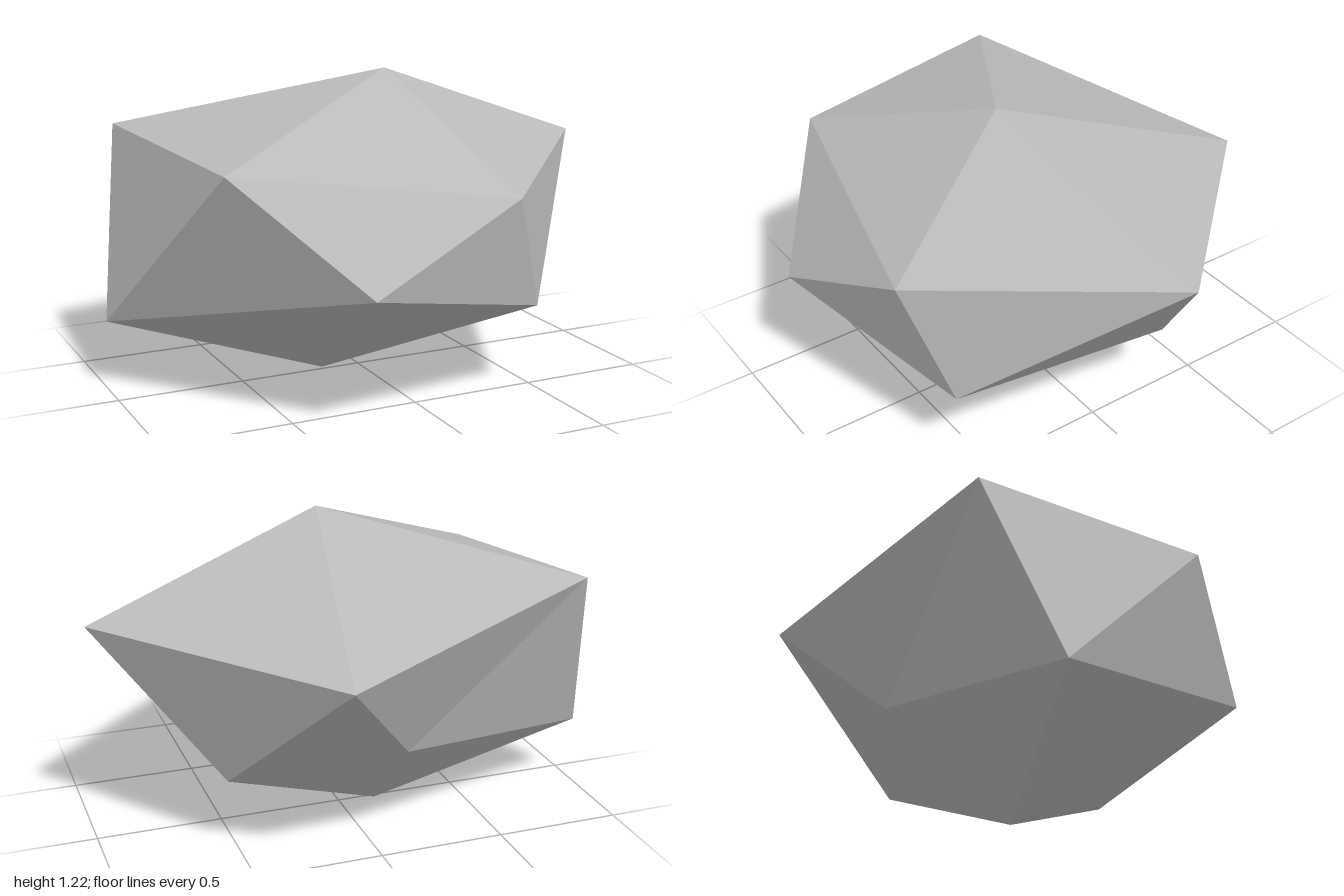
import * as THREE from 'three';

// Low-poly boulder: an irregular twenty-sided solid made of two poles and two rings of five.
export function createModel() {
  const group = new THREE.Group();
  group.name = 'boulder';
  const stone = new THREE.MeshStandardMaterial({ color: 0xb8babc });
  stone.name = 'stone grey';
  stone.flatShading = true;

  const top = [0.045, 1.22, 0.14];
  const bottom = [-0.15, 0, -0.02];
  // Both rings run counterclockwise seen from above; each lower corner sits between two upper ones.
  const upper = [[-0.87, 0.99, -0.4], [-0.745, 0.93, 0.51], [0.295, 0.805, 0.745], [1, 0.89, -0.035], [0.245, 0.835, -0.86]];
  const lower = [[-1, 0.275, -0.13], [-0.34, 0.53, 0.86], [0.46, 0.35, 0.61], [0.545, 0.31, -0.3], [-0.1, 0.42, -0.5]];

  const corners = [];
  for (let i = 0; i < 5; i++) {
    const j = (i + 1) % 5;
    corners.push(top, upper[i], upper[j]); // cap
    corners.push(upper[i], lower[i], upper[j]); // belt, pointing down
    corners.push(lower[i], lower[j], upper[j]); // belt, pointing up
    corners.push(bottom, lower[j], lower[i]); // underside
  }

  const geometry = new THREE.BufferGeometry();
  geometry.setAttribute('position', new THREE.Float32BufferAttribute(corners.flat(), 3));
  geometry.computeVertexNormals();
  const rock = new THREE.Mesh(geometry, stone);
  rock.name = 'rock';
  group.add(rock);
  return group;
}
